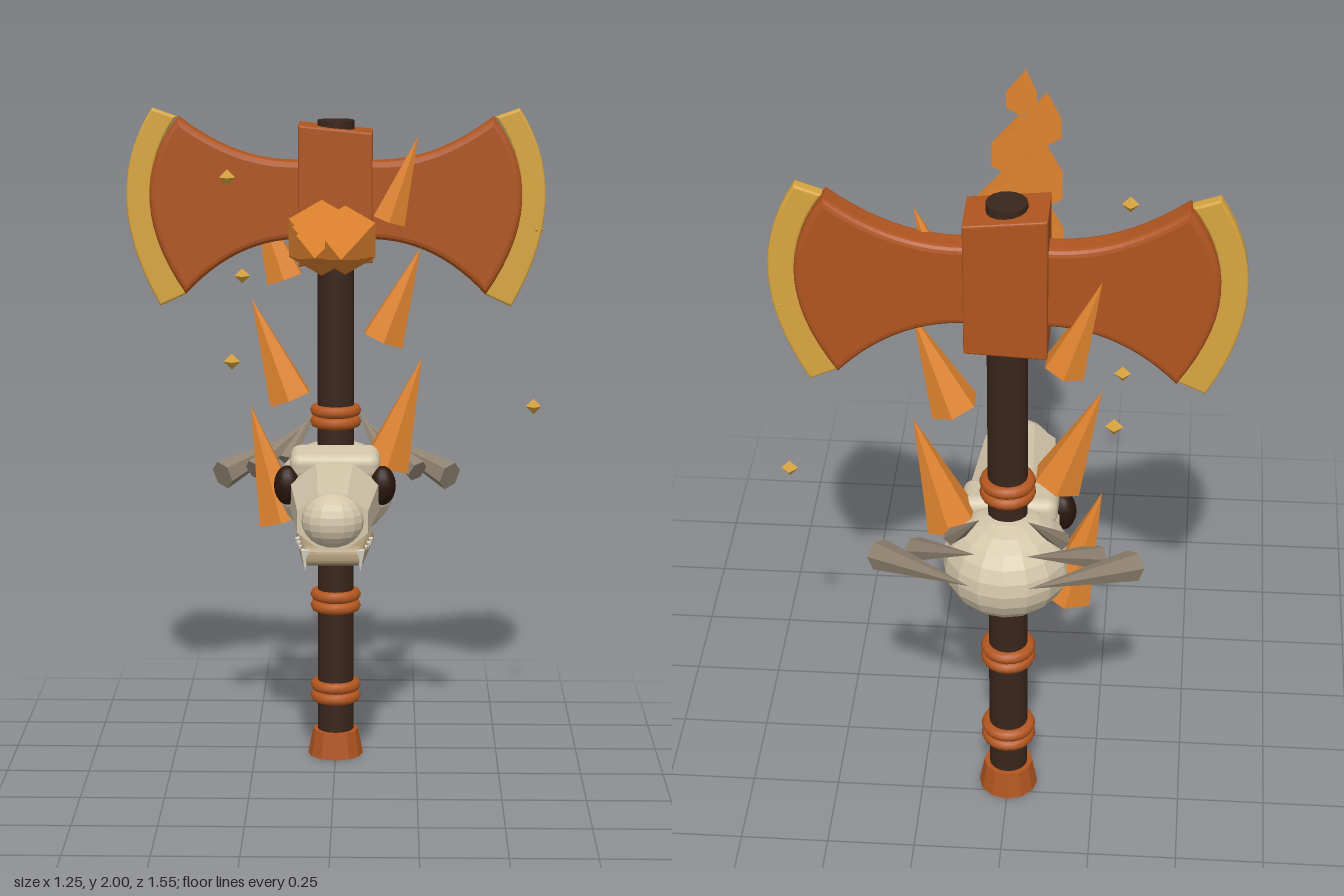
import * as THREE from 'three';
import { RoundedBoxGeometry } from 'three/addons/geometries/RoundedBoxGeometry.js';

const SHAFT_Z = -0.45;
const mat = (color, flat = true) => new THREE.MeshStandardMaterial({ color, flatShading: flat });
const wood = mat(0x3a261c, false), rust = mat(0xb4571f, false), rustFlat = mat(0xb05520);
const gold = mat(0xd9a640), flame = mat(0xe0842f), bone = mat(0xd3c6aa), boneSmooth = mat(0xd3c6aa, false);
const jawBone = mat(0xb09c7c, false), horn = mat(0x8f8270), dark = mat(0x2a150d, false), ivory = mat(0xe8e2d4);

export function createModel() {
  const model = new THREE.Group();

  function add(name, geometry, material, x = 0, y = 0, z = 0, parent = model) {
    const mesh = new THREE.Mesh(geometry, material);
    mesh.name = name;
    mesh.position.set(x, y, z);
    parent.add(mesh);
    return mesh;
  }

  // Cone running from the centre of its base to its tip
  const UP = new THREE.Vector3(0, 1, 0);
  function spike(name, base, tip, radius, material, sides = 6) {
    const a = new THREE.Vector3(...base), b = new THREE.Vector3(...tip);
    const dir = b.clone().sub(a);
    const mesh = add(name, new THREE.ConeGeometry(radius, dir.length(), sides), material);
    mesh.position.copy(a).add(b).multiplyScalar(0.5);
    mesh.quaternion.setFromUnitVectors(UP, dir.normalize());
    return mesh;
  }

  // Solid of even thickness centred on z = 0, with a bevel inside the outline
  function plate(shape, depth, bevel) {
    const g = new THREE.ExtrudeGeometry(shape, {
      depth: depth - 2 * bevel, bevelThickness: bevel, bevelSize: bevel, bevelOffset: -bevel,
      bevelSegments: 3, curveSegments: 14,
    });
    return g.translate(0, 0, bevel - depth / 2);
  }

  // Shaft, pommel and grip rings
  add('shaft', new THREE.CylinderGeometry(0.055, 0.055, 1.95, 16), wood, 0, 0.99, SHAFT_Z);
  add('pommel', new THREE.CylinderGeometry(0.07, 0.085, 0.08, 12), rustFlat, 0, 0.04, SHAFT_Z);
  for (const y of [0.187, 0.222, 0.476, 0.511, 1.053, 1.088]) {
    const ring = add('gripRing', new THREE.TorusGeometry(0.06, 0.018, 8, 20), rust, 0, y, SHAFT_Z);
    ring.rotation.x = Math.PI / 2;
  }

  // Axe head: slightly uneven block with two blades and golden edges
  const block = new THREE.Shape([[-0.11, 1.536], [0.11, 1.547], [0.11, 1.933], [-0.11, 1.955]]
    .map(p => new THREE.Vector2(...p)));
  add('headBlock', plate(block, 0.16, 0.006), rustFlat, 0, 0, SHAFT_Z);

  const blade = new THREE.Shape();
  blade.moveTo(0.06, 1.85);
  blade.quadraticCurveTo(0.27, 1.82, 0.47, 1.975);
  blade.quadraticCurveTo(0.652, 1.74, 0.45, 1.445);
  blade.quadraticCurveTo(0.28, 1.63, 0.06, 1.61);
  const edge = new THREE.Shape();
  edge.moveTo(0.475, 1.975);
  edge.lineTo(0.547, 2.0);
  edge.quadraticCurveTo(0.715, 1.74, 0.528, 1.408);
  edge.lineTo(0.445, 1.446);
  edge.quadraticCurveTo(0.645, 1.74, 0.475, 1.975);
  for (const turn of [0, Math.PI]) {
    const side = new THREE.Group();
    side.name = turn ? 'rightBlade' : 'leftBlade';
    side.position.z = SHAFT_Z;
    side.rotation.y = turn;
    add('blade', plate(blade, 0.083, 0.018), rustFlat, 0, 0, 0, side);
    add('bladeEdge', plate(edge, 0.037, 0.007), gold, 0, 0, 0, side);
    model.add(side);
  }

  // Skull: cranium, brow, tapered snout and nose
  add('cranium', new THREE.SphereGeometry(1, 16, 12), bone, 0, 0.84, -0.475).scale.set(0.18, 0.15, 0.185);
  const brow = add('brow', new RoundedBoxGeometry(0.27, 0.08, 0.14, 3, 0.03), boneSmooth, 0, 0.945, -0.355);
  brow.rotation.x = 0.12;
  const snout = new THREE.CylinderGeometry(0.085, 0.115, 0.4, 8);
  snout.rotateY(Math.PI / 8).rotateX(Math.PI / 2).scale(1.3, 1, 1);
  add('snout', snout, bone, 0, 0.853, -0.15);
  add('nose', new THREE.SphereGeometry(0.08, 16, 12), bone, 0, 0.858, 0.042).scale.x = 1.15;

  // Lower jaw, narrower toward the front
  const jawGeo = new RoundedBoxGeometry(0.24, 0.06, 0.39, 3, 0.025);
  const p = jawGeo.attributes.position;
  for (let i = 0; i < p.count; i++) p.setX(i, p.getX(i) * (0.87 - 0.6 * p.getZ(i)));
  jawGeo.computeVertexNormals();
  add('jaw', jawGeo, jawBone, 0, 0.732, -0.165).rotation.x = -0.07;

  // Mirrored eyes, teeth and horns
  for (const s of [-1, 1]) {
    add('eyeSocket', new THREE.SphereGeometry(1, 14, 10), dark, s * 0.143, 0.885, -0.303).scale.set(0.04, 0.06, 0.04);
    for (let i = 0; i < 4; i++) {
      const x = s * (0.08 + i * 0.008), z = 0.022 - i * 0.075;
      spike('tooth', [x, 0.765 - i * 0.006, z], [x, 0.7 + (i ? 0.01 : 0), z], 0.014, ivory);
    }
    spike('largeHorn', [s * 0.35, 0.868, -0.52], [s * 0.08, 0.97, -0.775], 0.045, horn);
    spike('middleHorn', [s * 0.25, 0.885, -0.51], [s * 0.07, 1.02, -0.7], 0.036, horn);
    spike('smallHorn', [s * 0.15, 0.92, -0.49], [s * 0.065, 1.065, -0.605], 0.028, horn);
  }

  // Flame spikes climbing both sides of the shaft: base x, base y, tip x, tip y, radius
  const climbing = [
    [-0.165, 0.74, -0.26, 1.09, 0.08], [0.155, 0.925, 0.26, 1.255, 0.078],
    [-0.14, 1.117, -0.255, 1.42, 0.072], [0.145, 1.31, 0.255, 1.59, 0.07],
    [-0.155, 1.485, -0.25, 1.76, 0.062], [0.16, 1.67, 0.245, 1.92, 0.056],
  ];
  for (const [bx, by, tx, ty, r] of climbing) {
    const z = SHAFT_Z + (bx > 0 ? 0.025 : -0.03);
    spike('climbingFlame', [bx, by, z], [tx, ty, z + (bx > 0 ? 0.012 : -0.012)], r, flame);
  }

  // Stream of overlapping flame cones shrinking toward the front
  for (let i = 0; i < 6; i++) {
    const x = i % 2 ? 0.035 : -0.035, y = 1.652 + i * 0.0118, z = -0.137 + i * 0.1435;
    const length = 0.34 - i * 0.029;
    const cone = new THREE.ConeGeometry(0.11 - i * 0.0115, length, 6).rotateX(Math.PI / 2);
    add('streamFlame', cone, flame, x, y, z + length / 2);
  }

  // Floating embers
  const embers = [[-0.31, 1.82, -0.19], [-0.295, 1.46, -0.71], [-0.3, 1.28, -0.19],
    [0.6, 1.1, SHAFT_Z], [0.6, 1.64, SHAFT_Z]];
  for (const [x, y, z] of embers) add('ember', new THREE.OctahedronGeometry(0.024), gold, x, y, z);

  return model;
}
